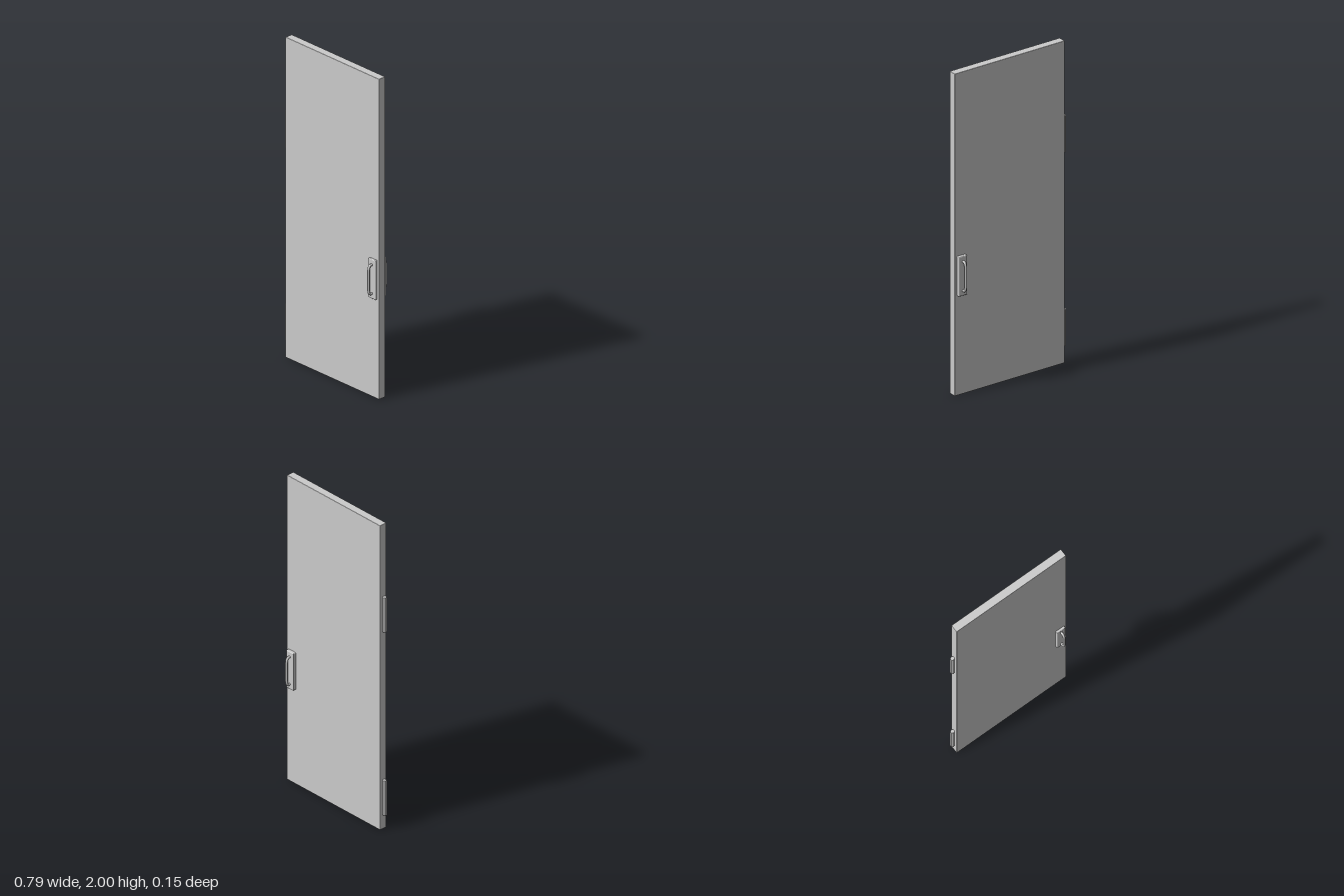
import * as THREE from 'three';
import { RoundedBoxGeometry } from 'three/addons/geometries/RoundedBoxGeometry.js';

const material = new THREE.MeshStandardMaterial({ color: 0xcccccc });
const facetedMaterial = new THREE.MeshStandardMaterial({ color: 0xcccccc, flatShading: true });

function addMesh(parent, name, geometry, x, y, z, mat = material) {
  const mesh = new THREE.Mesh(geometry, mat);
  mesh.name = name;
  mesh.position.set(x, y, z);
  parent.add(mesh);
  return mesh;
}

// Pull handle built facing +z: plate from z = 0 to plateDepth, grip reaching out to reach
function createHandle(name, plateDepth, reach) {
  const handle = new THREE.Group();
  handle.name = name;
  const embed = 0.008;
  const depth = plateDepth + embed;
  addMesh(handle, 'backPlate', new RoundedBoxGeometry(0.06, 0.245, depth, 3, 0.005),
    0, 0, plateDepth - depth / 2);

  // D-shaped grip with rounded bends
  const r = 0.0075;
  const half = 0.09;
  const out = reach - r;
  const bend = 0.018;
  const v = (y, z) => new THREE.Vector3(0, y, z);
  const path = new THREE.CurvePath();
  path.add(new THREE.LineCurve3(v(half, 0), v(half, out - bend)));
  path.add(new THREE.QuadraticBezierCurve3(v(half, out - bend), v(half, out), v(half - 2 * bend, out)));
  path.add(new THREE.LineCurve3(v(half - 2 * bend, out), v(-half + 2 * bend, out)));
  path.add(new THREE.QuadraticBezierCurve3(v(-half + 2 * bend, out), v(-half, out), v(-half, out - bend)));
  path.add(new THREE.LineCurve3(v(-half, out - bend), v(-half, 0)));
  addMesh(handle, 'grip', new THREE.TubeGeometry(path, 48, r, 10), 0, 0, 0);
  return handle;
}

export function createModel() {
  const door = new THREE.Group();
  door.name = 'door';

  // Plain slab with slightly eased edges
  addMesh(door, 'doorSlab', new RoundedBoxGeometry(0.77, 2, 0.05, 2, 0.004), 0.01, 1, 0);

  // Six-sided hinge barrels on the model's right edge
  for (const [name, y] of [['lowerHinge', 0.21], ['upperHinge', 1.413]]) {
    addMesh(door, name, new THREE.CylinderGeometry(0.013, 0.013, 0.227, 6), -0.386, y, 0, facetedMaterial);
  }

  // A pull handle on each face
  const front = createHandle('frontHandle', 0.014, 0.047);
  front.position.set(0.351, 0.742, 0.025);
  const back = createHandle('backHandle', 0.02, 0.051);
  back.position.set(0.351, 0.742, -0.025);
  back.rotation.y = Math.PI;
  door.add(front, back);

  return door;
}
